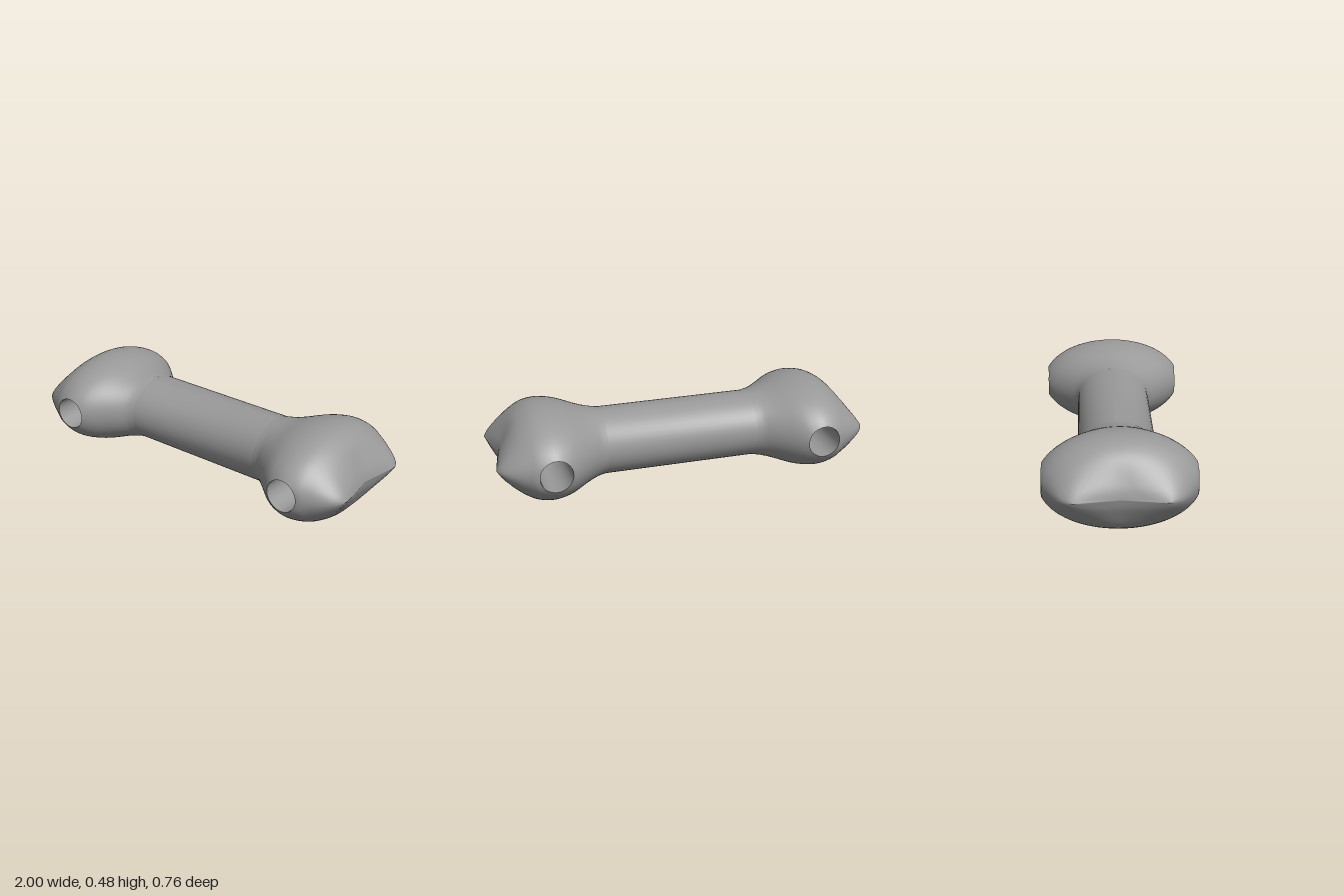
import * as THREE from 'three';
import { toCreasedNormals } from 'three/addons/utils/BufferGeometryUtils.js';

const MID = 0.243;                            // height of the bone's axis
const HOLE = { x: 0.72, r: 0.085 };           // holes run front to back
const NECK = 0.41;                            // where the shaft meets a knuckle

// Smooth lookup through a few (x, value) points
function profile(points) {
  const pts = new THREE.SplineCurve(points.map(p => new THREE.Vector2(...p))).getPoints(160);
  return x => {
    if (x <= pts[0].x) return pts[0].y;
    for (let i = 1; i < pts.length; i++) {
      if (x <= pts[i].x) {
        const t = (x - pts[i - 1].x) / Math.max(1e-9, pts[i].x - pts[i - 1].x);
        return THREE.MathUtils.lerp(pts[i - 1].y, pts[i].y, t);
      }
    }
    return pts[pts.length - 1].y;
  };
}

// Half height and half depth of the elliptical section along x
const halfHeight = profile([[NECK, 0.175], [0.5, 0.19], [0.6, 0.222], [0.66, 0.235], [0.72, 0.24],
  [0.79, 0.231], [0.85, 0.2], [0.9, 0.158], [0.95, 0.103], [0.985, 0.05], [1, 0]]);
const halfDepth = profile([[NECK, 0.2], [0.45, 0.217], [0.5, 0.258], [0.55, 0.303], [0.6, 0.348],
  [0.65, 0.382], [0.72, 0.402], [0.8, 0.385], [0.85, 0.358], [0.9, 0.33], [0.95, 0.295], [0.98, 0.262], [1, 0.22]]);

function surfaceZ(x, y) {
  const h = halfHeight(x);
  if (h < 1e-5) return Math.abs(y) < 1e-5 && x < 1 ? halfDepth(x) : 0;
  const k = 1 - (y / h) ** 2;
  return k < 1e-6 ? 0 : Math.min(0.378, halfDepth(x) * Math.sqrt(k));
}

// Point on the front (face 1) or back (face -1), with a shallow groove in the end
function surfacePoint(x, y, z, face) {
  const groove = 0.04 * Math.max(0, 1 - z / 0.23) * THREE.MathUtils.smoothstep(x, 0.85, 1);
  return [x - groove, y + MID, z * face];
}

function createBoneGeometry() {
  const positions = [];
  const quad = (a, b, c, d, flip) => {
    const corners = flip ? [a, c, b, a, d, c] : [a, b, c, a, c, d];
    corners.forEach(p => positions.push(...p));
  };

  // Knuckle outline, clockwise: top edge, tip, bottom edge, neck
  const N = 28, V = 24;
  const neckY = Array.from({ length: V + 1 }, (_, i) => -halfHeight(NECK) * Math.cos(Math.PI * i / V));
  const top = [];
  for (let i = 0; i <= N; i++) {
    const x = NECK + (1 - NECK) * Math.sin(Math.PI / 2 * i / N);
    top.push([x, i === N ? 0 : halfHeight(x)]);
  }
  const outline = [
    ...top.map(([x, y]) => ({ x, y, edge: true })),
    ...top.slice(0, N).reverse().map(([x, y]) => ({ x, y: -y, edge: true })),
    ...neckY.slice(1, V).map(y => ({ x: NECK, y, edge: false })),
  ];

  // Rings from the hole's rim out to the outline
  const ROWS = 16;
  const columns = face => outline.map(p => {
    const a = Math.atan2(p.y, p.x - HOLE.x);
    const rimX = HOLE.x + HOLE.r * Math.cos(a), rimY = HOLE.r * Math.sin(a);
    return Array.from({ length: ROWS + 1 }, (_, i) => {
      const s = Math.sin(Math.PI / 2 * i / ROWS);
      const x = THREE.MathUtils.lerp(rimX, p.x, s), y = THREE.MathUtils.lerp(rimY, p.y, s);
      const z = i === ROWS && p.edge ? 0 : surfaceZ(x, y);
      return surfacePoint(x, y, z, face);
    });
  });
  const front = columns(1), back = columns(-1);

  for (const side of [1, -1]) {
    const m = p => [p[0] * side, p[1], p[2]];
    for (let j = 0; j < outline.length; j++) {
      const k = (j + 1) % outline.length;
      for (let i = 0; i < ROWS; i++) {
        quad(m(front[j][i]), m(front[k][i]), m(front[k][i + 1]), m(front[j][i + 1]), side < 0);
        quad(m(back[j][i]), m(back[k][i]), m(back[k][i + 1]), m(back[j][i + 1]), side > 0);
      }
      // Wall of the hole
      quad(m(back[j][0]), m(back[k][0]), m(front[k][0]), m(front[j][0]), side < 0);
    }
  }

  // Shaft between the two necks
  for (let i = 0; i < V; i++) {
    for (const face of [1, -1]) {
      const at = (x, y) => [x, y + MID, face * surfaceZ(NECK, y)];
      quad(at(-NECK, neckY[i]), at(NECK, neckY[i]), at(NECK, neckY[i + 1]), at(-NECK, neckY[i + 1]), face < 0);
    }
  }

  const geometry = new THREE.BufferGeometry();
  geometry.setAttribute('position', new THREE.Float32BufferAttribute(positions, 3));
  return toCreasedNormals(geometry, 0.7);
}

export function createModel() {
  const grey = new THREE.MeshStandardMaterial({ color: 0x999999 });
  grey.name = 'grey';
  const bone = new THREE.Mesh(createBoneGeometry(), grey);
  bone.name = 'bone';
  const group = new THREE.Group();
  group.name = 'boneWithHoles';
  group.add(bone);
  return group;
}
